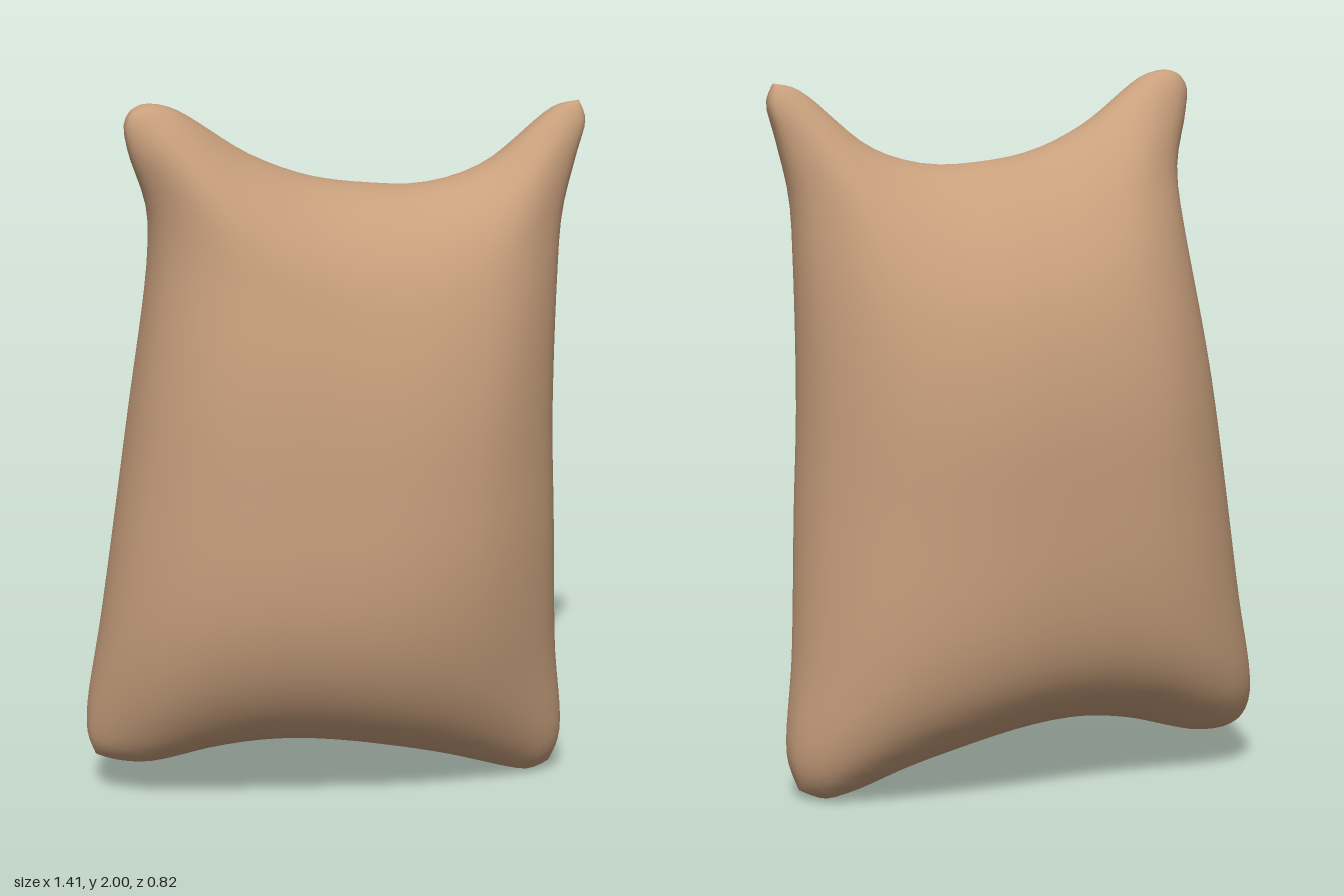
import * as THREE from 'three';
import { mergeVertices } from 'three/addons/utils/BufferGeometryUtils.js';

const curve = (pts) => new THREE.CatmullRomCurve3(pts.map((p) => new THREE.Vector3(...p)), false, 'centripetal');

// Seam of the cushion, one curve per side (left to right, or bottom to top)
const top = curve([[-0.565, 1.985, 0.145], [-0.53, 2.0, 0.14], [-0.46, 1.99, 0.13], [-0.24, 1.85, 0.06], [-0.07, 1.78, 0.02],
  [0.1, 1.752, 0], [0.26, 1.75, 0], [0.42, 1.8, 0], [0.62, 1.955, 0], [0.685, 1.97, 0]]);
const bottom = curve([[-0.685, 0.12, -0.04], [-0.61, 0.1, -0.04], [-0.53, 0.1, -0.03], [-0.33, 0.15, -0.01], [-0.18, 0.168, 0],
  [0.0, 0.155, 0], [0.3, 0.085, -0.02], [0.52, 0.012, -0.04], [0.58, 0.002, -0.04], [0.645, 0.025, -0.035]]);
const left = curve([[-0.685, 0.12, -0.04], [-0.705, 0.18, -0.04], [-0.705, 0.25, -0.04], [-0.66, 0.54, -0.01], [-0.58, 1.1, 0.01],
  [-0.52, 1.57, 0.06], [-0.525, 1.72, 0.1], [-0.575, 1.88, 0.14], [-0.583, 1.95, 0.145], [-0.565, 1.985, 0.145]]);
const right = curve([[0.645, 0.025, -0.035], [0.672, 0.12, -0.03], [0.65, 0.4, -0.02], [0.632, 0.8, 0], [0.622, 1.1, 0],
  [0.63, 1.5, 0], [0.642, 1.67, 0], [0.68, 1.83, 0], [0.702, 1.92, 0], [0.685, 1.97, 0]]);

// How full each sheet stays towards its four sides
const FRONT = { left: 2.9, right: 1.9, top: 2.3, bottom: 3.0 };
const BACK = { left: 3.3, right: 2.4, top: 2.1, bottom: 4.0 };

// Half thickness: full in the middle, slim blunt horns at the corners, zero along the seam
function puff(u, v, full) {
  const across = 1 - Math.abs(u) ** (u > 0 ? full.right : full.left);
  const along = 1 - Math.abs(v) ** (v > 0 ? full.top : full.bottom);
  const area = Math.max(0, across * along);
  const corner = (u * v) ** 2;
  const slim = 1 - (v > 0 ? 0.5 : 0.15) * corner;
  return 0.405 * Math.sqrt(area) * slim + 0.05 * corner ** 2 * area ** 0.15;
}

function cushionGeometry(n = 40) {
  // Samples crowd towards the seam so that it stays round
  const us = Array.from({ length: n + 1 }, (_, i) => Math.sin((i / n - 0.5) * Math.PI));
  const sample = (c) => us.map((u) => c.getPointAt((u + 1) / 2));
  const [T, B, L, R] = [top, bottom, left, right].map(sample);
  const positions = [];
  const index = [];
  for (const side of [1, -1]) {
    const base = positions.length / 3;
    for (let j = 0; j <= n; j++) {
      for (let i = 0; i <= n; i++) {
        const s = (us[i] + 1) / 2;
        const t = (us[j] + 1) / 2;
        // Patch spanned between the four seam curves
        const p = new THREE.Vector3()
          .addScaledVector(B[i], 1 - t).addScaledVector(T[i], t)
          .addScaledVector(L[j], 1 - s).addScaledVector(R[j], s)
          .addScaledVector(B[0], -(1 - s) * (1 - t)).addScaledVector(B[n], -s * (1 - t))
          .addScaledVector(T[0], -(1 - s) * t).addScaledVector(T[n], -s * t);
        positions.push(p.x, p.y, p.z + side * puff(us[i], us[j], side > 0 ? FRONT : BACK));
      }
    }
    for (let j = 0; j < n; j++) {
      for (let i = 0; i < n; i++) {
        const a = base + j * (n + 1) + i;
        const b = a + 1, c = a + n + 2, d = a + n + 1;
        if (side > 0) index.push(a, b, c, a, c, d);
        else index.push(a, c, b, a, d, c);
      }
    }
  }
  const geometry = new THREE.BufferGeometry();
  geometry.setAttribute('position', new THREE.Float32BufferAttribute(positions, 3));
  geometry.setIndex(index);
  const merged = mergeVertices(geometry, 1e-4);
  merged.computeVertexNormals();
  return merged;
}

export function createModel() {
  const group = new THREE.Group();
  group.name = 'cushion';
  const fabric = new THREE.MeshStandardMaterial({ color: 0xc9a07d });
  fabric.name = 'tan fabric';
  const cushion = new THREE.Mesh(cushionGeometry(), fabric);
  cushion.name = 'cushionBody';
  group.add(cushion);
  return group;
}
